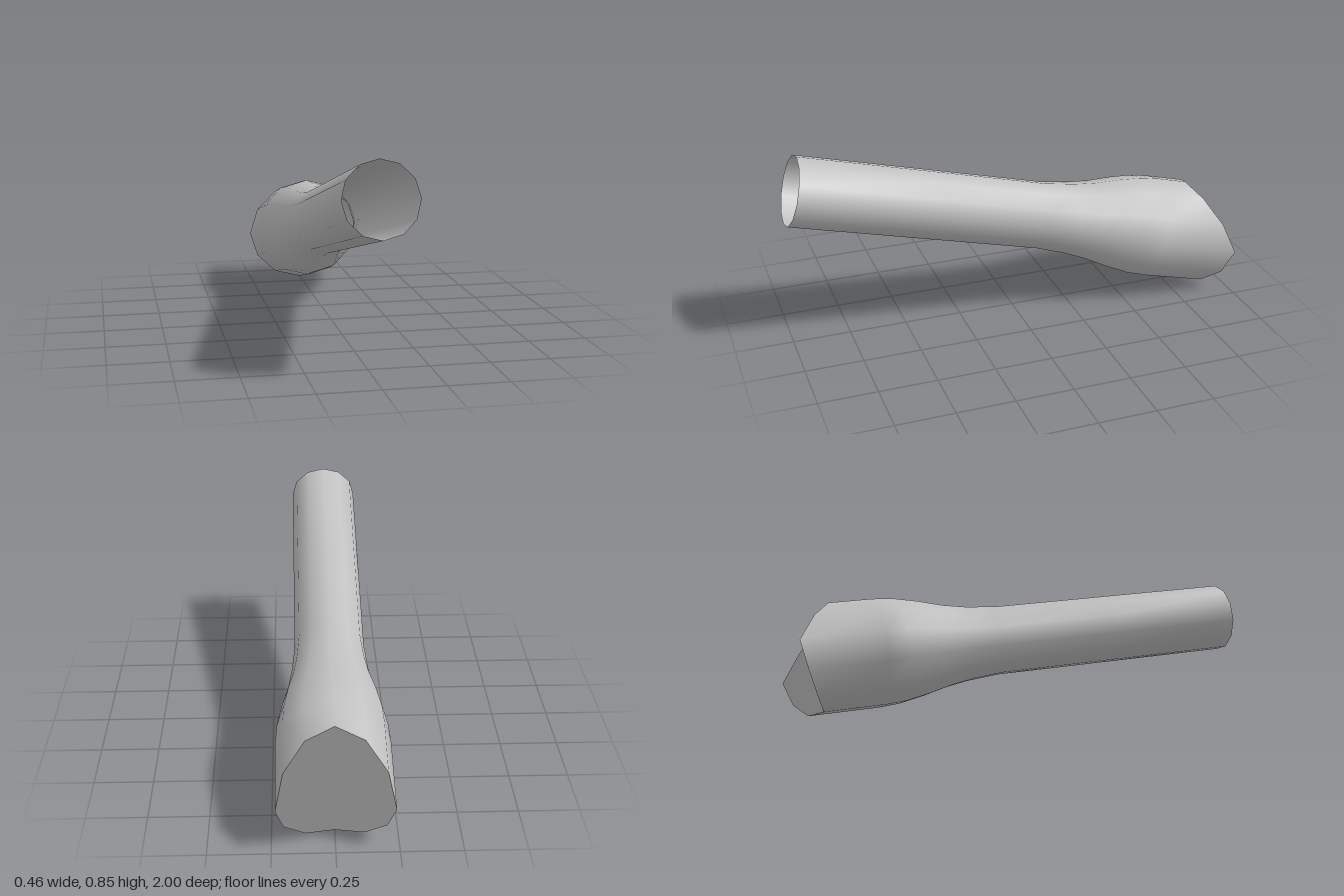
import * as THREE from 'three';

const SIDES = 12;

// Distance along the axis of the shaped rear rim, by height on the rim (-1 bottom .. 1 top)
const RIM = [[-1, 1.935], [-0.866, 1.975], [-0.5, 2.01], [0, 2.03], [0.5, 1.943], [0.866, 1.855], [1, 1.81]];

// Radius profile: [distance from the front opening, radius]
const PROFILE = [[0, 0.15], [0.6, 0.15], [1.12, 0.15], [1.26, 0.162], [1.36, 0.178],
  [1.47, 0.205], [1.58, 0.226], [1.67, 0.232]];
const END_RADIUS = 0.232;

function rimDistance(sine) {
  return RIM.reduce((best, p) => (Math.abs(p[0] - sine) < Math.abs(best[0] - sine) ? p : best))[1];
}

function ring(radius, distanceAt) {
  return Array.from({ length: SIDES }, (_, j) => {
    const a = (j / SIDES) * Math.PI * 2;
    return new THREE.Vector3(radius * Math.cos(a), radius * Math.sin(a), -distanceAt(Math.sin(a)));
  });
}

export function createModel() {
  const model = new THREE.Group();
  model.name = 'flaredTube';
  const grey = new THREE.MeshStandardMaterial({ color: 0xc0c0c0, side: THREE.DoubleSide });
  grey.name = 'light grey';

  // Open tube widening towards the rear
  const rings = PROFILE.map(([s, r]) => ring(r, () => s));
  const rim = ring(END_RADIUS, rimDistance);
  rings.push(rim);
  const index = [];
  for (let i = 0; i < rings.length - 1; i++) {
    for (let j = 0; j < SIDES; j++) {
      const k = (j + 1) % SIDES;
      const a = i * SIDES + j, b = i * SIDES + k;
      index.push(a, a + SIDES, b + SIDES, a, b + SIDES, b);
    }
  }
  const wall = new THREE.BufferGeometry().setFromPoints(rings.flat());
  wall.setIndex(index);
  wall.computeVertexNormals();
  const tube = new THREE.Mesh(wall, grey);
  tube.name = 'tubeWall';

  // Rear cap fanned from the rim to its middle, shaded as one face
  const centre = new THREE.Vector3();
  rim.forEach((p) => centre.addScaledVector(p, 1 / SIDES));
  centre.x = centre.y = 0;
  const capGeometry = new THREE.BufferGeometry().setFromPoints([...rim, centre]);
  capGeometry.setIndex(rim.flatMap((_, j) => [SIDES, (j + 1) % SIDES, j]));
  const normals = Array.from({ length: SIDES + 1 }, () => [0, 0, -1]).flat();
  capGeometry.setAttribute('normal', new THREE.Float32BufferAttribute(normals, 3));
  const cap = new THREE.Mesh(capGeometry, grey);
  cap.name = 'rearCap';

  // Tilt the whole part so the front opening is raised
  const body = new THREE.Group();
  body.name = 'body';
  body.add(tube, cap);
  body.position.set(0, 0.718, 0.9625);
  body.rotation.x = THREE.MathUtils.degToRad(-14.5);
  model.add(body);
  return model;
}
